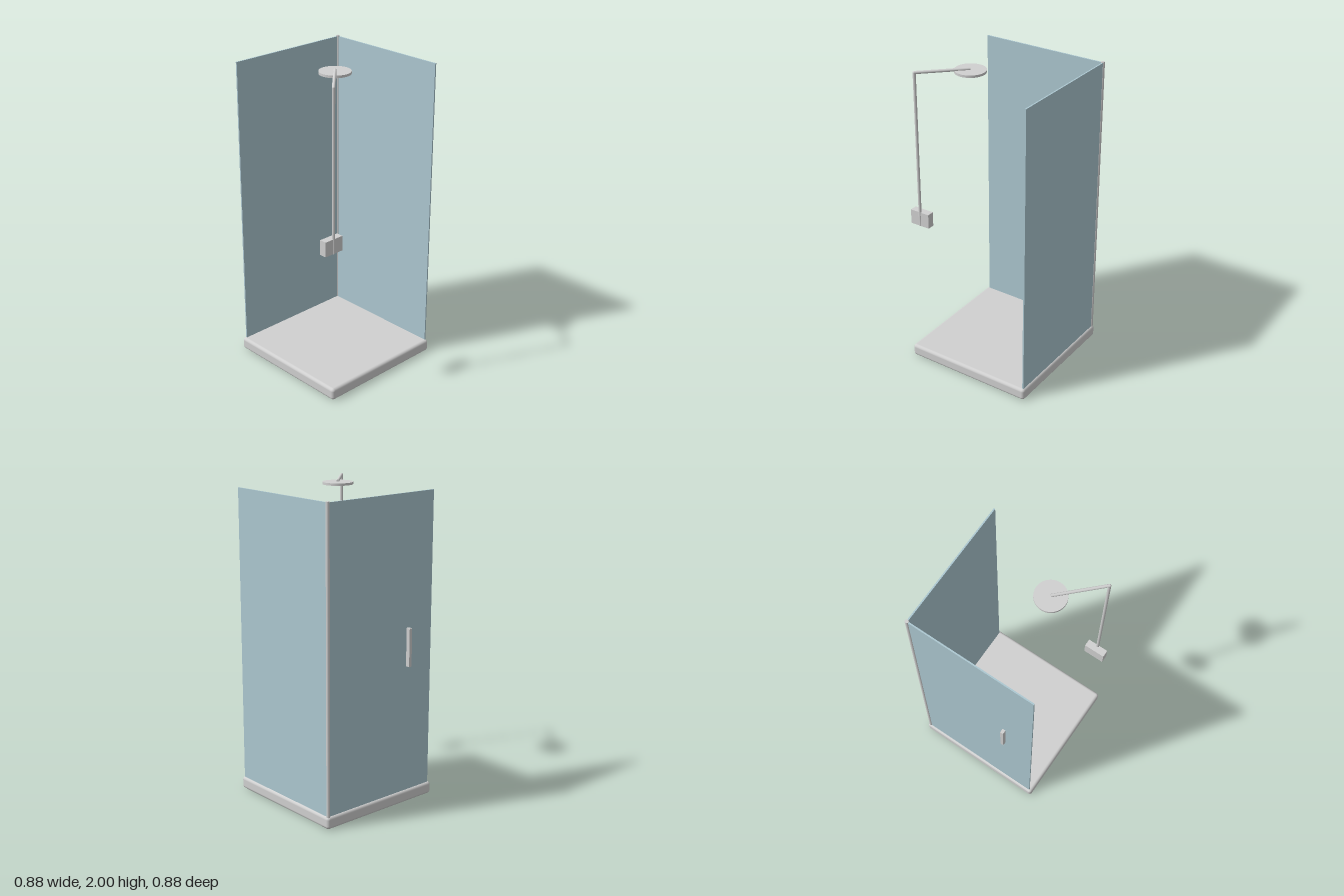
import * as THREE from 'three';
import { RoundedBoxGeometry } from 'three/addons/geometries/RoundedBoxGeometry.js';

export function createModel() {
  const group = new THREE.Group();
  const metal = new THREE.MeshStandardMaterial({ color: 0xd0d0d0 });
  metal.name = 'pale grey';
  const glass = new THREE.MeshStandardMaterial({ color: 0xadc8d1 });
  glass.name = 'blue glass';

  function add(name, geometry, material, x, y, z) {
    const mesh = new THREE.Mesh(geometry, material);
    mesh.name = name;
    mesh.position.set(x, y, z);
    group.add(mesh);
    return mesh;
  }

  // Box given by its [min, max] along each axis
  function box(name, material, [x0, x1], [y0, y1], [z0, z1]) {
    return add(name, new THREE.BoxGeometry(x1 - x0, y1 - y0, z1 - z0), material,
      (x0 + x1) / 2, (y0 + y1) / 2, (z0 + z1) / 2);
  }

  // Round bar between two points
  function bar(name, from, to, radius) {
    const dir = to.clone().sub(from);
    const mid = from.clone().add(to).multiplyScalar(0.5);
    const mesh = add(name, new THREE.CylinderGeometry(radius, radius, dir.length(), 24), metal, mid.x, mid.y, mid.z);
    mesh.quaternion.setFromUnitVectors(new THREE.Vector3(0, 1, 0), dir.normalize());
    return mesh;
  }

  // Tray with softened edges
  add('tray', new RoundedBoxGeometry(0.874, 0.08, 0.872, 5, 0.02), metal, 0.002, 0.04, 0.005);

  // Glass walls meeting at a corner post
  box('backPanel', glass, [-0.415, 0.422], [0.078, 1.972], [-0.417, -0.408]);
  box('sidePanel', glass, [0.418, 0.427], [0.078, 1.972], [-0.412, 0.424]);
  bar('cornerPost', new THREE.Vector3(0.422, 0.075, -0.4125), new THREE.Vector3(0.422, 1.977, -0.4125), 0.0115);

  // Door handle on the outside of the back panel
  box('handle', metal, [-0.226, -0.205], [0.9, 1.145], [-0.444, -0.416]);

  // Mixer block, riser pipe, arm and shower head
  box('mixer', metal, [-0.443, -0.308], [0.975, 1.07], [0.342, 0.389]);
  const elbow = new THREE.Vector3(-0.375, 1.99, 0.384);
  bar('riserPipe', new THREE.Vector3(-0.375, 0.975, 0.384), elbow, 0.0095);
  add('elbow', new THREE.SphereGeometry(0.0095, 24, 16), metal, elbow.x, elbow.y, elbow.z);
  bar('arm', elbow, new THREE.Vector3(-0.142, 1.99, 0.152), 0.0095);
  add('showerHead', new THREE.CylinderGeometry(0.0965, 0.0965, 0.015, 48), metal, -0.142, 1.9785, 0.152);

  return group;
}
